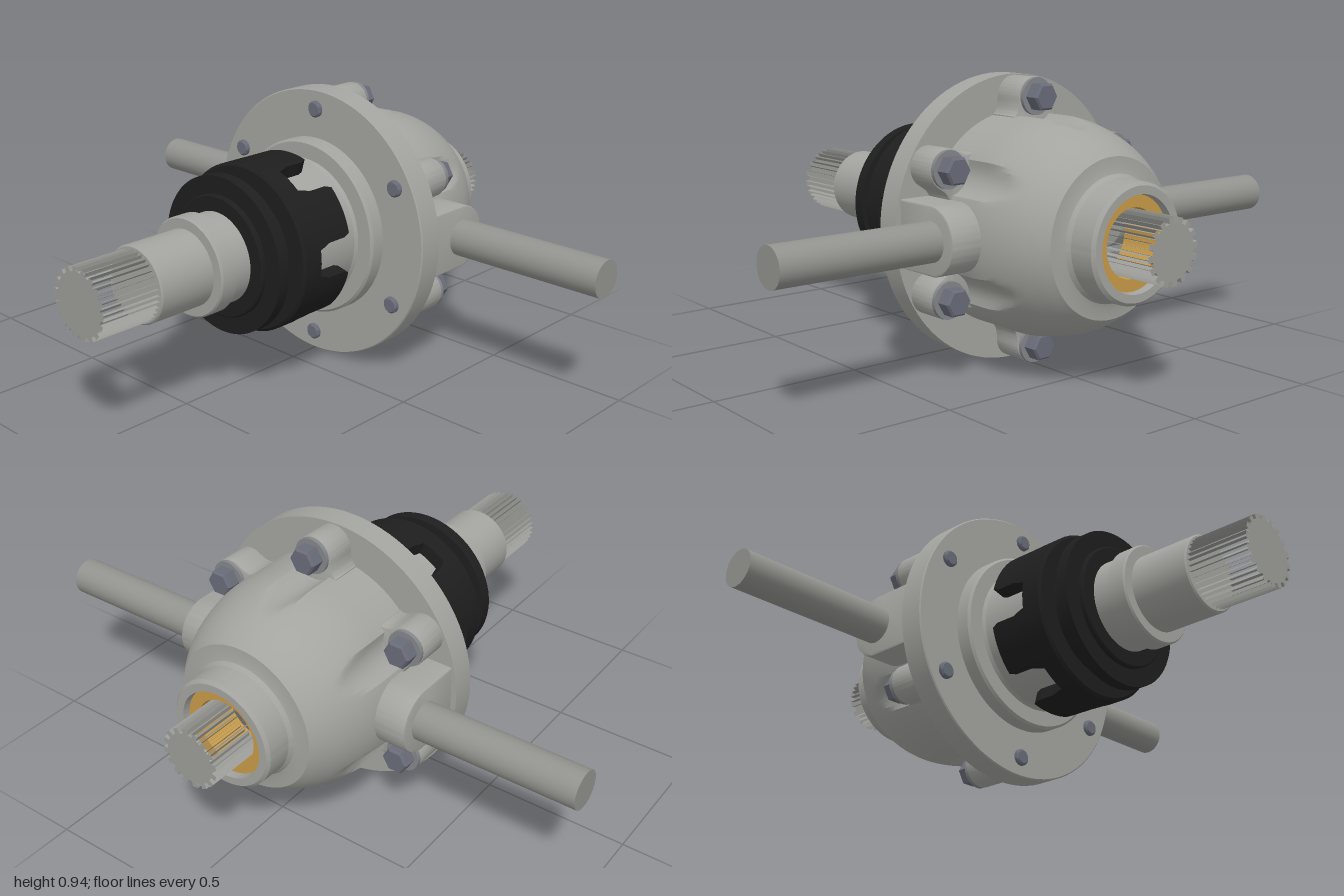
import * as THREE from 'three';
import { toCreasedNormals, mergeGeometries } from 'three/addons/utils/BufferGeometryUtils.js';

const CY = 0.47; // height of the drive axis

export function createModel() {
  const mat = (name, color, side = THREE.FrontSide) => {
    const m = new THREE.MeshStandardMaterial({ color, side });
    m.name = name;
    return m;
  };
  const steel = mat('cast steel', 0xa3a39f);
  const spline = mat('spline steel', 0x9c9c98, THREE.DoubleSide);
  const rodSteel = mat('rod steel', 0x92928e);
  const black = mat('black collar', 0x1e1e1e);
  const bronze = mat('bronze', 0xc79a48);
  const boltSteel = mat('bolt steel', 0x686c78);
  const washerSteel = mat('washer steel', 0x85868a);

  const root = new THREE.Group();
  root.name = 'differential';
  const axis = new THREE.Group();
  axis.name = 'axisParts';
  axis.position.y = CY;
  root.add(axis);

  const add = (name, geo, material, parent = axis) => {
    const m = new THREE.Mesh(geo, material);
    m.name = name;
    parent.add(m);
    return m;
  };
  // Revolve [x, radius] points around the x axis
  const turned = (pts, seg = 64) => new THREE.LatheGeometry(
    pts.map(([x, r]) => new THREE.Vector2(r, x)), seg).rotateZ(-Math.PI / 2);
  const crisp = (geo) => toCreasedNormals(geo, 0.5);

  // Input shaft with its stepped collar
  add('inputShaft', crisp(turned([[-0.69, 0], [-0.69, 0.122], [-0.685, 0.127], [-0.483, 0.127],
    [-0.483, 0.16], [-0.477, 0.165], [-0.42, 0.165], [-0.42, 0.152], [-0.3, 0.152], [-0.3, 0]])), steel);

  // Black sliding collar with six tapered claws
  add('clutchCollar', crisp(turned([[-0.35, 0.14], [-0.35, 0.2], [-0.345, 0.205], [-0.333, 0.205],
    [-0.333, 0.265], [-0.292, 0.265], [-0.292, 0.213], [-0.24, 0.213], [-0.24, 0.276],
    [-0.232, 0.285], [-0.165, 0.285], [-0.165, 0.14]])), black);
  const claw = new THREE.BoxGeometry(0.14, 0.048, 1, 6, 1, 14);
  const cp = claw.attributes.position;
  for (let i = 0; i < cp.count; i++) {
    const x = cp.getX(i), t = x / 0.14 + 0.5;
    const half = THREE.MathUtils.degToRad(t < 0.3 ? 21 - 8 * t : t > 0.95 ? 16 : 18);
    const a = cp.getZ(i) * 2 * half, r = 0.261 + cp.getY(i);
    cp.setXYZ(i, x - 0.098, r * Math.cos(a), r * Math.sin(a));
  }
  const clawGeo = crisp(claw);
  for (let i = 0; i < 6; i++) add('collarClaw', clawGeo, black).rotation.x = i * Math.PI / 3;

  // Hub and main flange
  add('hubFlange', crisp(turned([[-0.17, 0], [-0.17, 0.237], [0.045, 0.237], [0.055, 0.245],
    [0.055, 0.297], [0.063, 0.305], [0.11, 0.305], [0.11, 0.466], [0.114, 0.47], [0.196, 0.47],
    [0.196, 0]], 96)), steel);

  // Domed housing, with wrench clearance grooves behind each bolt
  const curve = new THREE.SplineCurve([[0.31, 0.352], [0.4, 0.351], [0.48, 0.337], [0.56, 0.31],
    [0.62, 0.277], [0.655, 0.25]].map((p) => new THREE.Vector2(...p)));
  const dome = turned([[0.19, 0.352], [0.3, 0.352], ...curve.getPoints(16).map((p) => [p.x, p.y]),
    [0.657, 0.215], [0.662, 0.198], [0.675, 0.188], [0.755, 0.186], [0.765, 0.176], [0.765, 0.15],
    [0.7, 0.145], [0.6, 0.145]], 144);
  const dp = dome.attributes.position;
  for (let i = 0; i < dp.count; i++) {
    const x = dp.getX(i), y = dp.getY(i), z = dp.getZ(i);
    if (x < 0.3 || x > 0.64) continue;
    const r = Math.hypot(y, z), a = Math.atan2(z, y), step = Math.PI / 3;
    const d = a - Math.round(a / step) * step;
    const across = 0.405 * Math.sin(d), reach = 0.085 ** 2 - across ** 2;
    if (reach <= 0) continue;
    const k = Math.min(1, (0.405 * Math.cos(d) - Math.sqrt(reach)) / r);
    dp.setXYZ(i, x, y * k, z * k);
  }
  add('domeHousing', crisp(dome), steel);

  // Bronze bush inside the nose of the housing
  add('bronzeBush', crisp(turned([[0.6, 0.147], [0.74, 0.147], [0.74, 0.108], [0.6, 0.108]])), bronze);

  // Splined shaft ends: toothed end disc and the tooth flanks
  const splinedEnd = (name, x0, x1, capX, rIn, rOut, teeth) => {
    const s = new THREE.Shape(), strips = [];
    for (let i = 0; i < teeth; i++) {
      [[0, rIn], [0.04, rOut], [0.52, rOut], [0.56, rIn]].forEach(([t, r], j) => {
        const a = (i + t) / teeth * Math.PI * 2;
        s[i + j ? 'lineTo' : 'moveTo'](r * Math.cos(a), r * Math.sin(a));
      });
      for (const t of [0.02, 0.54]) {
        strips.push(new THREE.PlaneGeometry(x1 - x0, rOut - rIn)
          .translate((x0 + x1) / 2, (rIn + rOut) / 2, 0).rotateX((i + t) / teeth * Math.PI * 2));
      }
    }
    s.closePath();
    const cap = new THREE.ShapeGeometry(s).rotateZ(-Math.PI / 2).rotateY(Math.PI / 2);
    // turn the disc so its outline meets the flanks
    cap.rotateX(Math.PI);
    if (capX < 0) cap.rotateY(Math.PI);
    add(name + 'Disc', cap.translate(capX, 0, 0), spline);
    add(name + 'Teeth', mergeGeometries(strips), spline);
  };
  splinedEnd('inputSpline', -0.9, -0.69, -0.9, 0.103, 0.117, 18);
  splinedEnd('outputSpline', 0.62, 0.9, 0.9, 0.086, 0.103, 16);

  // Six bolt stations: boss, washer, hex head, threaded tail
  const bossShape = new THREE.Shape();
  bossShape.moveTo(-0.085, 0.28);
  bossShape.lineTo(0.085, 0.28);
  bossShape.lineTo(0.085, 0.345);
  bossShape.quadraticCurveTo(0.066, 0.355, 0.066, 0.4);
  bossShape.absarc(0, 0.4, 0.066, 0, Math.PI, false);
  bossShape.quadraticCurveTo(-0.066, 0.355, -0.085, 0.345);
  bossShape.closePath();
  const bossGeo = crisp(new THREE.ExtrudeGeometry(bossShape, {
    depth: 0.104, bevelThickness: 0.006, bevelSize: 0.005, bevelOffset: -0.005, bevelSegments: 2, curveSegments: 20,
  }).rotateY(Math.PI / 2).translate(0.19, 0, 0));
  const at = (geo) => geo.translate(0, 0.405, 0);
  const washerGeo = at(crisp(turned([[0.298, 0], [0.298, 0.06], [0.312, 0.06], [0.312, 0]], 32)));
  const headGeo = at(crisp(turned([[0.31, 0], [0.31, 0.047], [0.353, 0.047], [0.36, 0.04], [0.36, 0]], 6)));
  const tailGeo = at(crisp(turned([[0.095, 0], [0.095, 0.022], [0.101, 0.028], [0.12, 0.028]], 24)));
  for (let i = 0; i < 6; i++) {
    const station = new THREE.Group();
    station.name = 'boltStation';
    station.rotation.x = i * Math.PI / 3;
    axis.add(station);
    add('boltBoss', bossGeo, steel, station);
    add('washer', washerGeo, washerSteel, station);
    add('hexHead', headGeo, boltSteel, station);
    add('boltTail', tailGeo, boltSteel, station);
  }

  // Cross rod and the two rounded bosses that carry it
  const rodBoss = new THREE.Shape();
  rodBoss.moveTo(0.19, -0.108);
  rodBoss.lineTo(0.345, -0.108);
  rodBoss.absarc(0.345, 0, 0.108, -Math.PI / 2, Math.PI / 2, false);
  rodBoss.lineTo(0.19, 0.108);
  rodBoss.closePath();
  for (const front of [true, false]) {
    const g = new THREE.ExtrudeGeometry(rodBoss, {
      depth: 0.188, bevelThickness: 0.006, bevelSize: 0.006, bevelOffset: -0.006, bevelSegments: 2, curveSegments: 24,
    });
    add('rodBoss', crisp(g.translate(0, 0, front ? 0.256 : -0.444)), steel);
  }
  const rod = new THREE.CylinderGeometry(0.063, 0.063, 2, 40).rotateX(Math.PI / 2);
  add('crossRod', rod, rodSteel).position.x = 0.347;

  return root;
}
